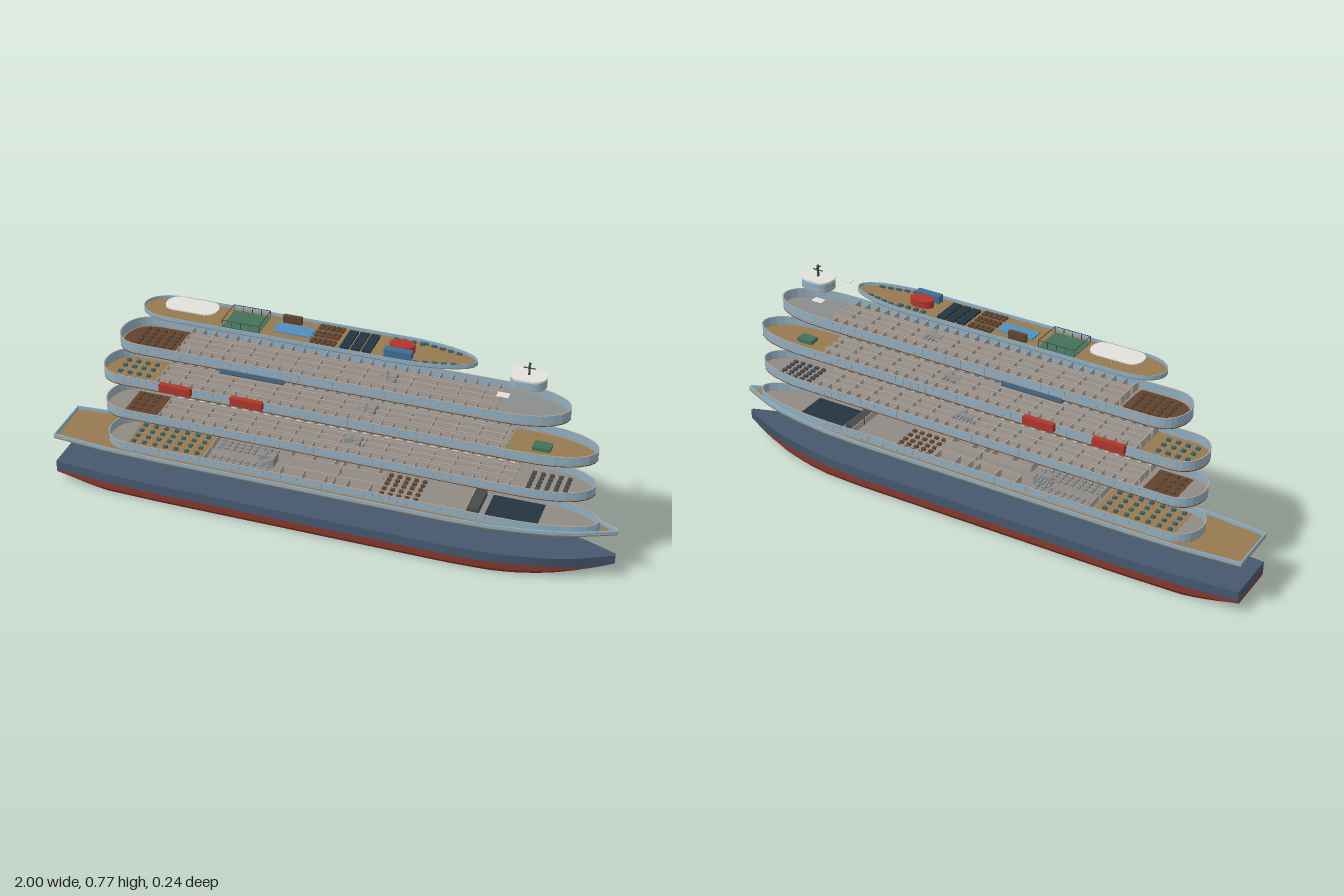
import * as THREE from 'three';
import { mergeGeometries } from 'three/addons/utils/BufferGeometryUtils.js';

const C = {
  navy: 0x46586e, red: 0x8a382c, glass: 0x8db0c6, trim: 0xa9a39b, teak: 0x96794f, dark: 0x474a49,
  carpet: 0x8f8a84, wall: 0xaaa198, maroon: 0x7d3c4a, white: 0xe2e0da, wood: 0x5f4330, teal: 0x35606a,
  grey: 0x8a8d8c, green: 0x43705a, pool: 0x4f8fbc, boat: 0xb0352c, night: 0x243540, blue: 0x3f6d92,
};
const mat = (c) => new THREE.MeshStandardMaterial({ color: c, side: THREE.DoubleSide });

function add(parent, name, geo, color) {
  const m = new THREE.Mesh(geo, mat(color));
  m.name = name;
  parent.add(m);
  return m;
}

// merged boxes, each given as [x0, x1, y0, y1, z0, z1]
function boxes(parent, name, color, list) {
  const geos = list.map(([a, b, c, d, e, f]) =>
    new THREE.BoxGeometry(b - a, d - c, f - e).translate((a + b) / 2, (c + d) / 2, (e + f) / 2));
  return add(parent, name, mergeGeometries(geos), color);
}
const bothSides = (l) => l.flatMap((b) => [b, [b[0], b[1], b[2], b[3], -b[5], -b[4]]]);
function grid(x0, x1, dx, zs, sx, sz, y0, y1) {
  const out = [];
  for (let x = x0; x <= x1 + 1e-6; x += dx)
    for (const z of zs) out.push([x - sx / 2, x + sx / 2, y0, y1, z - sz / 2, z + sz / 2]);
  return out;
}

// half beam of the ship along its length
const BEAM = [[-1, .098], [-.8, .115], [-.6, .12], [.45, .12], [.6, .113], [.7, .1], [.8, .082], [.88, .058], [.94, .033], [1, .006]];
function beam(x) {
  for (let i = 1; i < BEAM.length; i++) {
    const [a, wa] = BEAM[i - 1], [b, wb] = BEAM[i];
    if (x <= b) return wa + (wb - wa) * Math.max(0, (x - a) / (b - a));
  }
  return BEAM.at(-1)[1];
}

// plan outlines as Vector2 lists
function hullOutline(inset) {
  const half = BEAM.map(([x, w]) => new THREE.Vector2(x * (1 - inset), Math.max(.001, w - inset)));
  return [...half, ...half.map((p) => new THREE.Vector2(p.x, -p.y)).reverse()];
}
function houseOutline({ x0, x1, w, stern, bow, p = .8 }, t = 0) {
  const pts = [], n = 14;
  const end = (cx, len, sgn, pow) => {
    for (let i = 0; i <= n; i++) {
      const a = -Math.PI / 2 + Math.PI * i / n;
      pts.push(new THREE.Vector2(cx + sgn * (len - t) * Math.pow(Math.abs(Math.cos(a)), pow), sgn * (w - t) * Math.sin(a)));
    }
  };
  end(x1 - bow, bow, 1, p);
  end(x0 + stern, stern, -1, .8);
  return pts;
}
function plate(pts, y0, y1, hole) {
  const s = new THREE.Shape(pts);
  if (hole) s.holes.push(new THREE.Path(hole));
  return new THREE.ExtrudeGeometry(s, { depth: y1 - y0, bevelEnabled: false }).rotateX(-Math.PI / 2).translate(0, y0, 0);
}

// skin through closed cross-sections, capped at both ends
function loft(rows) {
  const v = [], n = rows[0].length, last = rows.length - 1;
  const tri = (...q) => q.forEach((p) => v.push(...p));
  for (let i = 0; i < last; i++) for (let j = 0; j < n; j++) {
    const k = (j + 1) % n, a = rows[i][j], b = rows[i][k], c = rows[i + 1][k], d = rows[i + 1][j];
    tri(a, b, c); tri(a, c, d);
  }
  for (let j = 1; j < n - 1; j++) {
    tri(rows[0][0], rows[0][j + 1], rows[0][j]);
    tri(rows[last][0], rows[last][j], rows[last][j + 1]);
  }
  const g = new THREE.BufferGeometry();
  g.setAttribute('position', new THREE.Float32BufferAttribute(v, 3));
  g.computeVertexNormals();
  return g;
}

function hull(root) {
  const g = new THREE.Group(); g.name = 'hull'; root.add(g);
  const upper = [], lower = [];
  for (let i = 0; i <= 50; i++) {
    const x = -1 + i / 25, w = beam(x);
    const s = Math.max(0, (x - .5) / .5), a = Math.max(0, (-.8 - x) / .2);
    const bottom = .03 * a ** 1.5 + .06 * Math.max(0, (x - .6) / .4) ** 2;
    const line = Math.max(.043, bottom + .001), top = .08 + .014 * s * s;
    const ww = w * (1 - .3 * s * s), chine = bottom + (line - bottom) * .4;
    upper.push([[x, top, w], [x, line, ww], [x, line, -ww], [x, top, -w]]);
    lower.push([[x, line, ww], [x, chine, ww * .99], [x, bottom, ww * .88],
      [x, bottom, -ww * .88], [x, chine, -ww * .99], [x, line, -ww]]);
  }
  add(g, 'upperHull', loft(upper), C.navy);
  add(g, 'lowerHull', loft(lower), C.red);
}

// floor, glazed wall with mullions, and a thin top rail
function house(g, o, y, h, floorColor, baseColor) {
  const out = houseOutline(o), inn = houseOutline(o, .003);
  add(g, 'deckBase', plate(out, y, y + .003), baseColor);
  add(g, 'floor', plate(inn, y + .003, y + .005), floorColor);
  add(g, 'lowerWall', plate(out, y + .003, y + h * .3, inn), C.trim);
  add(g, 'windowBand', plate(out, y + h * .3, y + h * .92, inn), C.glass);
  add(g, 'topRail', plate(houseOutline(o, -.001), y + h * .92, y + h, inn), C.trim);
  boxes(g, 'mullions', C.trim, bothSides(grid(o.x0 + o.stern, o.x1 - o.bow, .03, [o.w], .002, .002, y + .005, y + h)));
}

// outer cabins, corridors, inner cabins and beds
function cabins(g, x0, x1, y, h, rug) {
  const f = y + .005, t = y + h * .85;
  const outer = grid(x0, x1, .04, [.068], .003, .042, f, t);
  const inner = grid(x0, x1, .08, [.0175], .003, .03, f, t);
  boxes(g, 'cabinWalls', C.wall, bothSides([...outer, ...inner, [x0, x1, f, t, .046, .049], [x0, x1, f, t, .031, .034], [x0, x1, f, t, 0, .002]]));
  boxes(g, 'carpets', rug, bothSides(grid(x0 + .02, x1 - .02, .08, [.068], .036, .036, f, f + .001)));
  boxes(g, 'beds', C.white, bothSides(grid(x0 + .016, x1 - .02, .04, [.072], .014, .02, f, f + .006)));
}

// stair shaft with two tall posts
function stairs(g, x, y, h) {
  const t = y + h, list = [[x - .03, x + .03, y + .005, t - .003, -.002, .002]];
  for (let i = 0; i < 6; i++) list.push([x - .03 + i * .01, x - .02 + i * .01, y + .005, y + .01 + i * h / 7, -.025, .025]);
  list.push([x - .03, x + .03, t + .001, t + .003, -.012, .012]);
  for (const z of [0, .012]) list.push([x - .002, x + .002, y, t + .016, z - .001, z + .001]);
  boxes(g, 'stairs', C.grey, list);
}
const chairs = (g, x0, x1, dx, zs, y, color) => boxes(g, 'chairs', color, grid(x0, x1, dx, zs, .014, .012, y + .005, y + .013));

export function createModel() {
  const root = new THREE.Group(); root.name = 'explodedShip';
  const group = (n) => { const g = new THREE.Group(); g.name = n; root.add(g); return g; };
  hull(root);

  // main deck with bulwark
  const d1 = group('mainDeck');
  add(d1, 'deckPlate', plate(hullOutline(0), .178, .182), C.teak);
  add(d1, 'bulwark', plate(hullOutline(0), .182, .195, hullOutline(.004)), C.glass);
  house(d1, { x0: -.82, x1: .94, w: .092, stern: .1, bow: .34, p: 1 }, .18, .036, C.carpet, C.teak);
  boxes(d1, 'sternFloor', C.teak, [[-.74, -.45, .185, .186, -.085, .085]]);
  boxes(d1, 'theatre', C.night, [[.56, .74, .185, .187, -.07, .07]]);
  boxes(d1, 'stage', C.dark, [[.5, .54, .185, .207, -.06, .06]]);
  chairs(d1, -.72, -.48, .04, [-.07, -.035, 0, .035, .07], .181, C.teal);
  chairs(d1, .2, .32, .03, [-.06, -.035, -.01, .02, .05], .181, C.wood);
  chairs(d1, -.42, -.2, .025, [-.07, -.05, -.03, .03, .05, .07], .18, C.grey);
  boxes(d1, 'roomWalls', C.wall, bothSides([[-.44, .5, .185, .21, .083, .086], [-.16, .18, .185, .21, .03, .033],
    ...grid(-.16, .16, .08, [.058], .003, .05, .185, .21), ...grid(-.44, .5, .47, [.045], .003, .08, .185, .21)]));
  stairs(d1, -.23, .18, .036);

  // cabin decks
  const d2 = group('lowerCabinDeck'), o2 = { x0: -.82, x1: .915, w: .092, stern: .1, bow: .26 };
  house(d2, o2, .317, .037, C.carpet, C.dark);
  cabins(d2, -.6, .65, .317, .037, C.carpet);
  stairs(d2, .08, .317, .037);
  boxes(d2, 'sternFloor', C.wood, [[-.74, -.62, .322, .323, -.08, .08]]);
  chairs(d2, -.72, -.64, .03, [-.06, -.03, 0, .03, .06], .318, C.wood);
  chairs(d2, .7, .84, .03, [-.045, -.022, 0, .022, .045], .317, C.dark);

  const d3 = group('boatDeck');
  house(d3, o2, .453, .039, C.teak, C.dark);
  boxes(d3, 'cabinFloor', C.carpet, [[-.6, .62, .458, .459, -.088, .088]]);
  cabins(d3, -.6, .62, .453, .039, C.maroon);
  stairs(d3, .13, .453, .039);
  chairs(d3, -.76, -.64, .035, [-.055, -.02, .02, .055], .453, C.teal);
  boxes(d3, 'bar', C.green, [[.7, .76, .458, .472, -.02, .02]]);
  for (const x of [-.52, -.262]) {
    boxes(d3, 'lifeboats', C.boat, bothSides([[x - .057, x + .057, .468, .497, .093, .113]]));
    boxes(d3, 'davits', C.trim, bothSides([-.045, .045].flatMap((e) => [
      [x + e - .002, x + e + .002, .49, .513, .09, .094], [x + e - .002, x + e + .002, .51, .513, .09, .112]])));
  }

  const d4 = group('upperCabinDeck');
  house(d4, { x0: -.75, x1: .815, w: .094, stern: .1, bow: .24 }, .59, .04, C.carpet, C.dark);
  cabins(d4, -.52, .58, .59, .04, C.maroon);
  stairs(d4, .2, .59, .04);
  add(d4, 'foreFloor', plate(houseOutline({ x0: .59, x1: .805, w: .088, stern: .01, bow: .2 }), .595, .597), C.grey);
  add(d4, 'aftFloor', plate(houseOutline({ x0: -.74, x1: -.53, w: .088, stern: .1, bow: .01 }), .595, .597), C.wood);
  chairs(d4, -.68, -.56, .03, [-.06, -.036, -.012, .012, .036, .06], .592, C.wood);
  boxes(d4, 'sideBalconies', C.wood, bothSides([[-.35, -.125, .589, .592, .093, .113]]));
  boxes(d4, 'balconyRails', C.blue, bothSides([[-.35, -.125, .592, .608, .111, .113]]));

  // sun deck
  const d5 = group('sunDeck'), o5 = { x0: -.66, x1: .5, w: .074, stern: .13, bow: .26, p: 1 };
  add(d5, 'deckBase', plate(houseOutline(o5), .728, .731), 0x85827b);
  add(d5, 'floor', plate(houseOutline(o5, .003), .731, .734), C.teak);
  add(d5, 'glassRail', plate(houseOutline(o5), .731, .744, houseOutline(o5, .002)), C.glass);
  add(d5, 'canopy', plate(houseOutline({ x0: -.58, x1: -.395, w: .043, stern: .04, bow: .04 }), .757, .761), C.white);
  boxes(d5, 'canopyPosts', C.trim, bothSides(grid(-.54, -.43, .055, [.035], .003, .003, .734, .758)));
  boxes(d5, 'court', C.green, [[-.36, -.23, .734, .737, -.055, .055]]);
  boxes(d5, 'courtFence', C.dark, [...bothSides([[-.36, -.23, .758, .76, .053, .055]]), ...grid(-.36, -.23, .13, [0], .002, .11, .758, .76),
    ...bothSides(grid(-.36, -.23, .0325, [.054], .002, .002, .737, .76))]);
  boxes(d5, 'pool', C.pool, [[-.19, -.06, .734, .739, -.028, .028]]);
  boxes(d5, 'poolBar', C.wood, [[-.18, -.115, .734, .76, -.053, -.038]]);
  chairs(d5, -.045, .03, .018, [-.052, -.037, .037, .052], .731, C.wood);
  chairs(d5, -.045, .03, .018, [-.01, .01], .731, C.wood);
  boxes(d5, 'solarPanels', C.night, grid(.065, .14, .0375, [-.042, -.014, .014, .042], .03, .024, .734, .742));
  const oval = add(d5, 'redPavilion', new THREE.CylinderGeometry(.044, .044, .025, 24), C.boat);
  oval.scale.z = .58; oval.position.set(.247, .747, 0);
  boxes(d5, 'bluePavilion', C.blue, [[.2, .293, .734, .76, .03, .057]]);
  boxes(d5, 'sunLoungers', C.teal, bothSides([0, 1, 2, 3, 4].map((i) => [.3 + i * .03, .318 + i * .03, .734, .74, .054 - i * .006, .063 - i * .006])));
  chairs(d5, .21, .3, .03, [-.05], .731, C.teal);

  // bridge with wings and mast
  const b = group('bridge'), ob = { x0: .61, x1: .73, w: .043, stern: .04, bow: .05 };
  add(b, 'bridgeBase', plate(houseOutline(ob), .692, .7), C.trim);
  add(b, 'bridgeWindows', plate(houseOutline(ob, .001), .7, .722), C.glass);
  add(b, 'bridgeRoof', plate(houseOutline(ob), .722, .729), C.white);
  boxes(b, 'bridgeWings', C.white, bothSides([[.59, .63, .69, .692, .073, .1]]));
  boxes(b, 'mast', C.dark, [[.667, .673, .729, .772, -.003, .003], [.65, .69, .752, .754, -.002, .002], [.668, .672, .76, .762, -.018, .018]]);
  return root;
}
